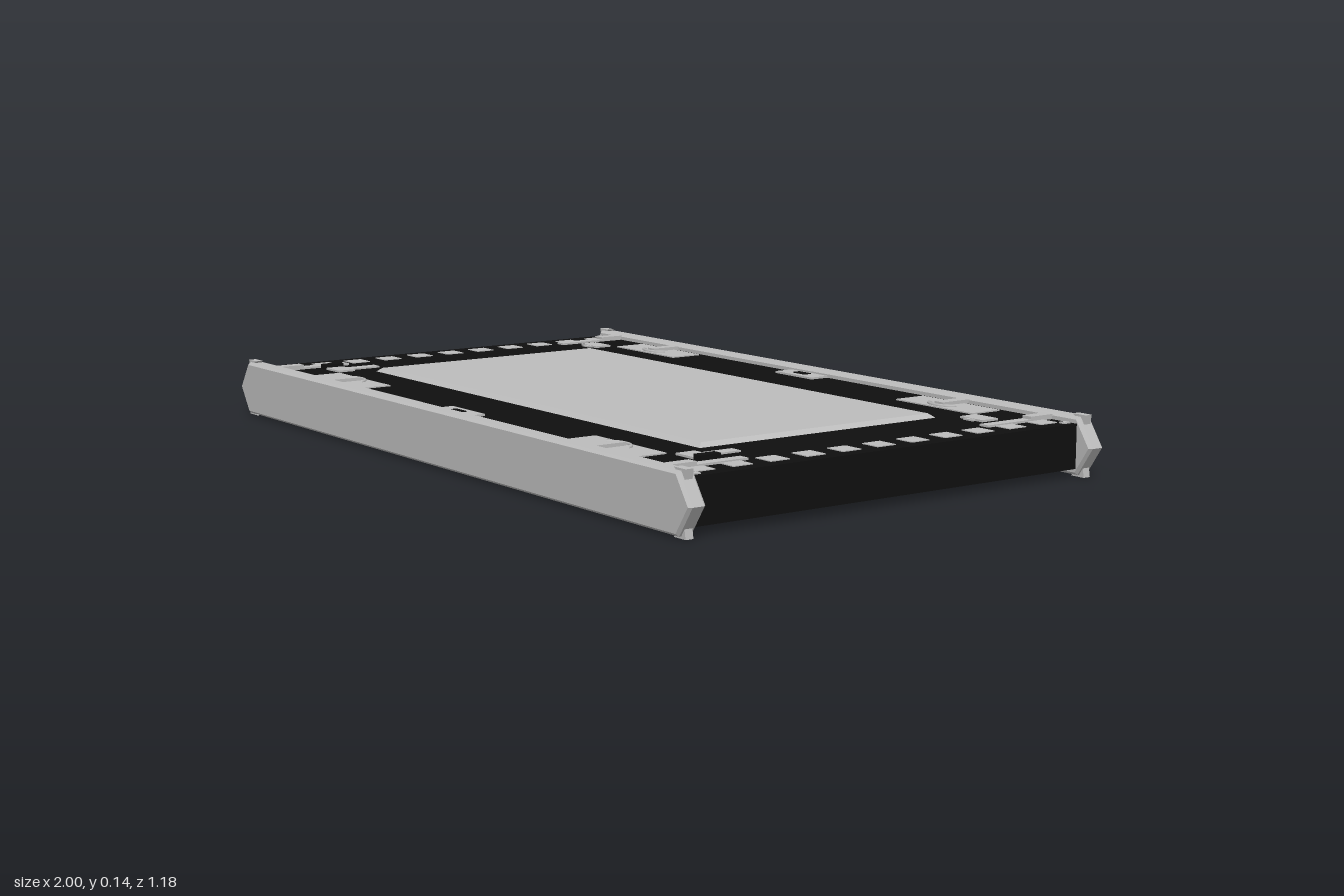
import * as THREE from 'three';

const H = 0.145; // total height; upper details repeat on the underside

export function createModel() {
  const model = new THREE.Group();
  model.name = 'framedPanel';
  const grey = new THREE.MeshStandardMaterial({ color: 0xbcbcbc });
  grey.name = 'light grey';
  const black = new THREE.MeshStandardMaterial({ color: 0x0f0f0f });
  black.name = 'black';

  const add = (name, geo, mat) => {
    const m = new THREE.Mesh(geo, mat);
    m.name = name;
    model.add(m);
    return m;
  };
  // box from its limits
  const box = (name, mat, x0, x1, y0, y1, z0, z1) => {
    const g = new THREE.BoxGeometry(x1 - x0, y1 - y0, z1 - z0);
    g.translate((x0 + x1) / 2, (y0 + y1) / 2, (z0 + z1) / 2);
    return add(name, g, mat);
  };
  // same box on the top and on the underside
  const both = (name, mat, x0, x1, y0, y1, z0, z1) => {
    box(name + 'Top', mat, x0, x1, y0, y1, z0, z1);
    box(name + 'Bottom', mat, x0, x1, H - y1, H - y0, z0, z1);
  };
  const outline = (pts) => new THREE.Shape(pts.map(([x, y]) => new THREE.Vector2(x, y)));

  // black core
  box('body', black, -0.955, 0.955, 0.02, 0.125, -0.55, 0.55);

  // raised centre panel with chamfered edges
  const px = 0.692, pz = 0.33;
  const panel = new THREE.ExtrudeGeometry(outline([[-px, -pz], [px, -pz], [px, pz], [-px, pz]]), {
    depth: 0.085, bevelEnabled: true, bevelThickness: 0.02, bevelSize: 0.025, bevelSegments: 1,
  });
  panel.rotateX(-Math.PI / 2);
  panel.translate(0, 0.03, 0);
  add('centrePanel', panel, grey);

  // long rails with pointed ends
  const railShape = outline([
    [-0.993, 0.072], [-0.952, 0.011], [0.952, 0.011], [0.993, 0.072], [0.952, 0.134], [-0.952, 0.134],
  ]);
  for (const s of [-1, 1]) {
    const rail = new THREE.ExtrudeGeometry(railShape, {
      depth: 0.03, bevelEnabled: true, bevelThickness: 0.007, bevelSize: 0.006, bevelSegments: 1,
    });
    rail.translate(0, 0, s * 0.569 - 0.015);
    add('rail', rail, grey);

    // small wedge tabs at the rail tips
    for (const e of [-1, 1]) for (const top of [true, false]) {
      const y = (v) => (top ? v : H - v);
      const pts = [[e * 0.93, y(H)], [e * 0.97, y(H)], [e * 0.965, y(0.115)]];
      const tab = new THREE.ExtrudeGeometry(outline(pts), { depth: 0.02, bevelEnabled: false });
      tab.translate(0, 0, s * 0.569 - 0.01);
      add('railTab', tab, grey);
    }

    // middle latch plate with a dark slot
    const span = (a, b) => (s > 0 ? [a, b] : [-b, -a]);
    both('latchPlate', grey, -0.07, 0.075, 0.124, 0.13, ...span(0.493, 0.55));
    both('latchSlot', black, -0.022, 0.024, 0.129, 0.132, ...span(0.512, 0.534));

    for (const e of [-1, 1]) {
      const across = (a, b) => (e > 0 ? [a, b] : [-b, -a]);
      const wide = across(0.455, 0.72), rod = across(0.57, 0.6);

      // mounting plate, rod and curved hook
      both('mountPlate', grey, wide[0], wide[1], 0.122, 0.128, ...span(0.443, 0.532));
      both('mountRod', grey, rod[0], rod[1], 0.126, 0.136, ...span(0.463, 0.55));
      for (const y of [0.129, H - 0.129]) {
        const hook = new THREE.TorusGeometry(0.042, 0.005, 6, 12, Math.PI);
        hook.rotateX(s > 0 ? -Math.PI / 2 : Math.PI / 2);
        hook.scale(1, 1, 0.6);
        hook.translate(e * 0.585, y, s * 0.477);
        add('mountHook', hook, grey);
      }

      // corner bar, thicker near the rail
      const bar = across(0.848, 0.876);
      both('cornerBar', grey, bar[0], bar[1], 0.123, 0.13, ...span(0.345, 0.5));
      both('cornerBarFoot', grey, bar[0], bar[1], 0.12, 0.137, ...span(0.48, 0.55));
      const pin = across(0.925, 0.942);
      both('cornerPin', grey, pin[0], pin[1], 0.124, 0.128, ...span(0.52, 0.54));

      // corner block with its tongue, longer on the front side
      const blk = across(0.742, 0.815), tongue = across(0.762, 0.793);
      both('cornerBlock', grey, blk[0], blk[1], 0.122, 0.13, ...span(0.385, 0.435));
      both('blockTongue', grey, tongue[0], tongue[1], 0.122, 0.129,
        ...span(s > 0 ? 0.3 : 0.375, 0.39));
    }
  }

  for (const e of [-1, 1]) {
    // row of square pads along each short end
    for (let i = 0; i < 11; i++) {
      const z = (i - 5) * 0.0985;
      both('pad', grey, e * 0.895 - 0.026, e * 0.895 + 0.026, 0.123, 0.127, z - 0.026, z + 0.026);
    }
    // dark raised clip near the front corners
    both('darkClip', black, e * 0.82 - 0.012, e * 0.82 + 0.012, 0.12, 0.138, 0.383, 0.438);
  }

  return model;
}
